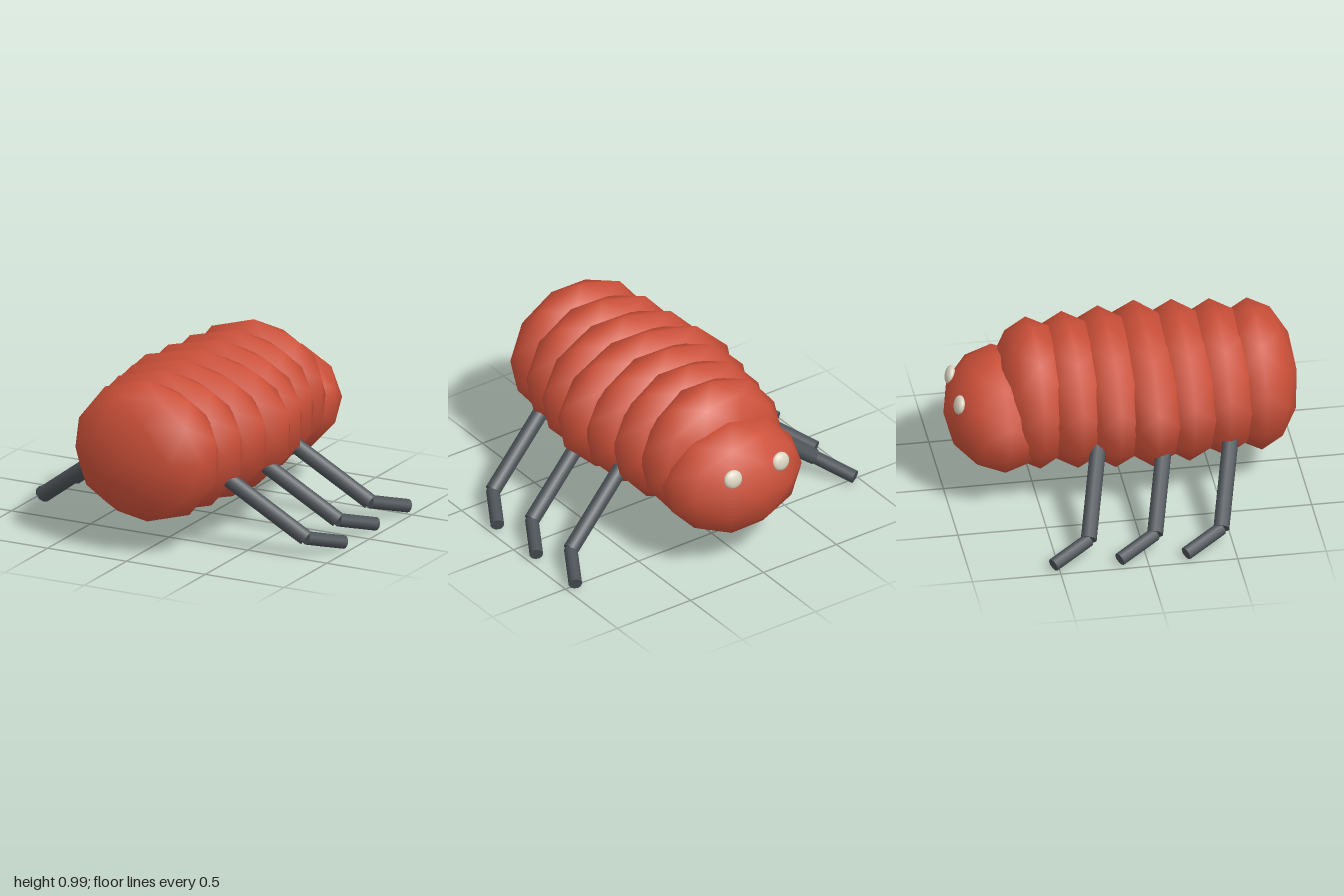
import * as THREE from 'three';

const red = new THREE.MeshStandardMaterial({ color: 0xcc5039 });
const dark = new THREE.MeshStandardMaterial({ color: 0x4c5257 });
const ivory = new THREE.MeshStandardMaterial({ color: 0xd9d3c0 });

// Low-poly icosphere with its poles along z and smooth normals
function icosphere(rx, ry, rz) {
  const g = new THREE.IcosahedronGeometry(1, 1);
  g.rotateX(Math.atan(2 / (1 + Math.sqrt(5))));
  g.rotateZ(Math.PI / 2);
  return g.scale(rx, ry, rz);
}

// Straight rod between two points
function rod(name, a, b, radius) {
  const dir = b.clone().sub(a);
  const mesh = new THREE.Mesh(new THREE.CylinderGeometry(radius, radius, dir.length(), 10), dark);
  mesh.position.copy(a).add(b).multiplyScalar(0.5);
  mesh.quaternion.setFromUnitVectors(new THREE.Vector3(0, 1, 0), dir.normalize());
  mesh.name = name;
  return mesh;
}

export function createModel() {
  const model = new THREE.Group();
  model.name = 'beetle';

  // Overlapping body segments, widest in the middle
  for (let i = 0; i < 7; i++) {
    const width = 0.587 - 0.044 * Math.abs(i - 3);
    const segment = new THREE.Mesh(icosphere(width, 0.415, 0.24), red);
    segment.position.set(0, 0.583, 0.757 - 0.2085 * i);
    segment.name = 'bodySegment' + (i + 1);
    model.add(segment);
  }

  // Head
  const head = new THREE.Mesh(icosphere(0.43, 0.333, 0.31), red);
  head.position.set(0, 0.5, -0.69);
  head.name = 'head';
  model.add(head);

  for (const side of [1, -1]) {
    const label = side > 0 ? 'left' : 'right';

    // Flattened eye lying on the head
    const eye = new THREE.Mesh(new THREE.SphereGeometry(1, 16, 12).scale(0.057, 0.053, 0.027), ivory);
    eye.position.set(0.163 * side, 0.647, -0.937);
    eye.rotation.set(0.28, -0.08 * side, 0);
    eye.name = label + 'Eye';
    model.add(eye);

    // Three bent legs
    for (let i = 0; i < 3; i++) {
      const z = 0.435 - 0.375 * i;
      const hip = new THREE.Vector3(0.3 * side, 0.5, z + 0.152);
      const knee = new THREE.Vector3(0.832 * side, 0.108, z);
      const toe = new THREE.Vector3(0.957 * side, 0.04, z - 0.22);
      const leg = new THREE.Group();
      leg.name = label + 'Leg' + (i + 1);
      leg.add(rod('upperLeg', hip, knee, 0.046), rod('foot', knee, toe, 0.038));
      model.add(leg);
    }
  }
  return model;
}
